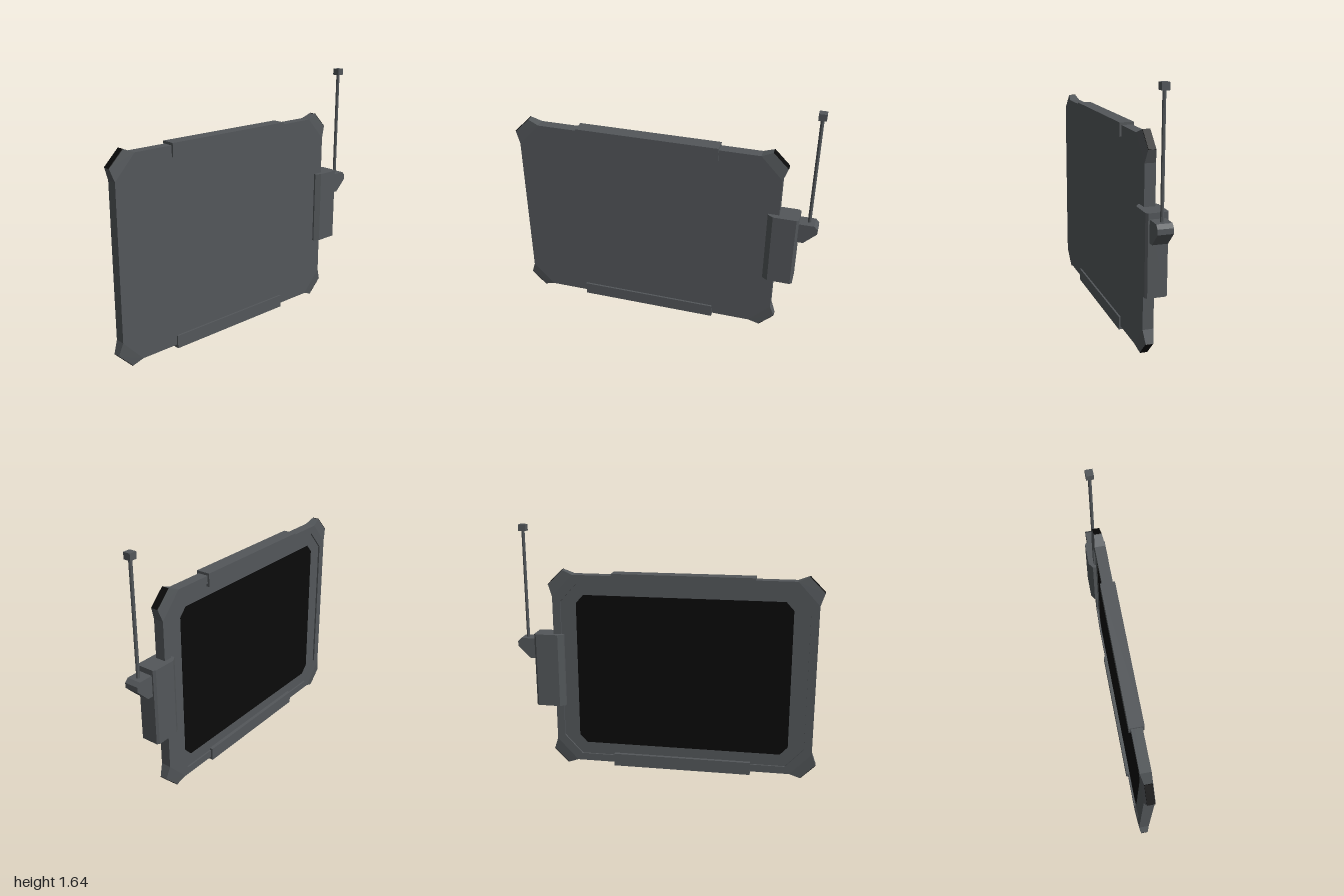
import * as THREE from 'three';
import { ConvexGeometry } from 'three/addons/geometries/ConvexGeometry.js';

const grey = new THREE.MeshStandardMaterial({ color: 0x53575a });
grey.name = 'dark grey casing';
const black = new THREE.MeshStandardMaterial({ color: 0x0a0a0a });
black.name = 'black';

const CX = -0.1075, CY = 0.683; // middle of the tablet

export function createModel() {
  const model = new THREE.Group();
  model.name = 'ruggedTablet';

  const add = (name, geometry, material, x = 0, y = 0, z = 0) => {
    const mesh = new THREE.Mesh(geometry, material);
    mesh.name = name;
    mesh.position.set(x, y, z);
    model.add(mesh);
    return mesh;
  };

  // rectangle with cut corners, given by half sizes and cut lengths
  const octagon = (w, h, cx, cy) => [
    [w, h - cy], [w - cx, h], [cx - w, h], [-w, h - cy],
    [-w, cy - h], [cx - w, -h], [w - cx, -h], [w, cy - h],
  ].map(([x, y]) => new THREE.Vector2(x, y));
  const slab = (shape, depth) =>
    new THREE.ExtrudeGeometry(shape, { depth, bevelEnabled: false });

  // casing, with a raised rim around the recessed screen side
  const outer = octagon(0.8625, 0.647, 0.14, 0.15);
  add('casing', slab(new THREE.Shape(outer), 0.057), grey, CX, CY, -0.023);
  const rim = new THREE.Shape(outer);
  rim.holes.push(new THREE.Path(octagon(0.81, 0.597, 0.12, 0.13)));
  add('rim', slab(rim, 0.011), grey, CX, CY, -0.034);
  add('screen', slab(new THREE.Shape(octagon(0.705, 0.515, 0.05, 0.055)), 0.004),
    black, CX, CY, -0.026);

  // flared corner bumpers with black tips
  for (const sx of [-1, 1]) {
    for (const sy of [-1, 1]) {
      const pair = (x, y, z) => [-z, z].map((d) => new THREE.Vector3(CX + sx * x, CY + sy * y, d));
      add('cornerBumper', new ConvexGeometry([
        ...pair(0.7225, 0.647, 0.034), ...pair(0.7925, 0.675, 0.024),
        ...pair(0.8905, 0.577, 0.024), ...pair(0.8625, 0.497, 0.034),
      ]), grey);
      add('bumperTip', new ConvexGeometry([
        ...pair(0.7925, 0.675, 0.024), ...pair(0.795, 0.677, 0.023),
        ...pair(0.8925, 0.579, 0.023), ...pair(0.8905, 0.577, 0.024),
      ]), black);
    }
  }

  // long grips on the top and bottom edges
  for (const y of [1.303, 0.058]) {
    add('edgeGrip', new THREE.BoxGeometry(0.925, 0.086, 0.092), grey, CX, y, 0);
  }

  // side module, extruded upward from its plan
  const plan = [
    [0.685, -0.045], [0.72, -0.068], [0.868, -0.068], [0.882, -0.056],
    [0.882, 0.056], [0.868, 0.068], [0.72, 0.068], [0.685, 0.045],
  ].map(([x, y]) => new THREE.Vector2(x, y));
  const sideModule = add('sideModule', slab(new THREE.Shape(plan), 0.496), grey, 0, 0.434, 0);
  sideModule.rotation.x = -Math.PI / 2;

  // antenna with its angled base and square cap
  const profile = [
    [0.875, 0.76], [0.92, 0.76], [1, 0.84], [1, 0.872], [0.978, 0.895], [0.875, 0.895],
  ].map(([x, y]) => new THREE.Vector2(x, y));
  add('antennaBase', slab(new THREE.Shape(profile), 0.094), grey, 0, 0, -0.047);
  const rod = new THREE.CylinderGeometry(0.011, 0.011, 0.72, 8).toNonIndexed();
  rod.computeVertexNormals();
  add('antennaRod', rod, grey, 0.942, 1.25, 0);
  add('antennaCap', new THREE.BoxGeometry(0.048, 0.042, 0.048), grey, 0.942, 1.624, 0);

  return model;
}
